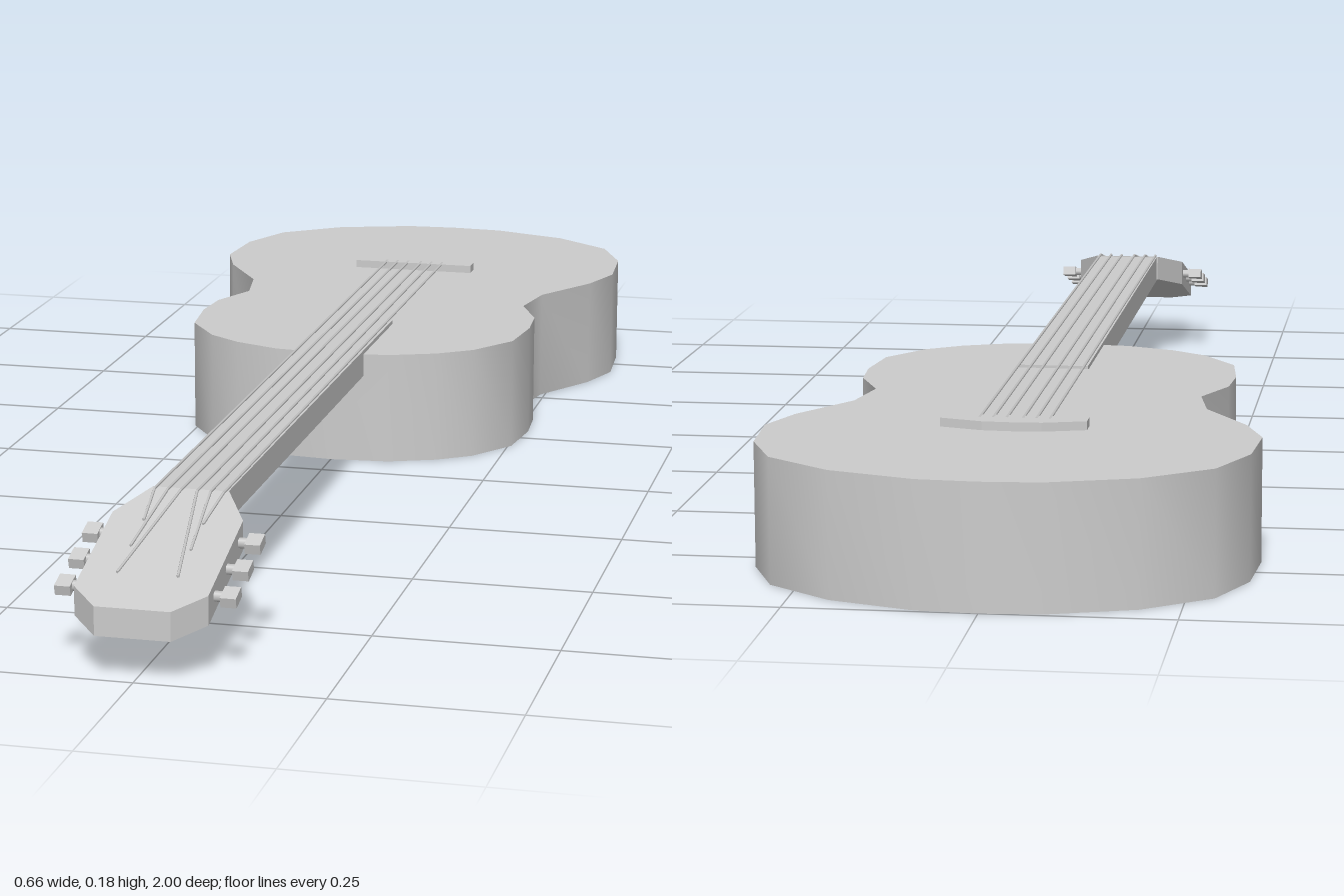
import * as THREE from 'three';
import { toCreasedNormals } from 'three/addons/utils/BufferGeometryUtils.js';

const material = new THREE.MeshStandardMaterial({ color: 0xcccccc });

// Height of the headstock face, which slopes down towards its tip
const headTop = (z) => 0.174 - 0.285 * (z - 0.73);

// Flat slab from the +x half of an outline of [x, z] points, mirrored; top face at y
function slab(half, y, depth) {
  const pts = half.map(([x, z]) => new THREE.Vector2(x, z));
  for (const [x, z] of [...half].reverse()) if (x > 0) pts.push(new THREE.Vector2(-x, z));
  const geo = new THREE.ExtrudeGeometry(new THREE.Shape(pts), { depth, bevelEnabled: false });
  return geo.rotateX(Math.PI / 2).translate(0, y, 0);
}

// Thin rod between two points
function rod(a, b, radius, sides) {
  const dir = b.clone().sub(a);
  const geo = new THREE.CylinderGeometry(radius, radius, dir.length(), sides);
  const up = new THREE.Vector3(0, 1, 0);
  geo.applyQuaternion(new THREE.Quaternion().setFromUnitVectors(up, dir.normalize()));
  return geo.translate(...a.clone().add(b).multiplyScalar(0.5).toArray());
}

export function createModel() {
  const group = new THREE.Group();
  const add = (name, geo, parent = group) => {
    const mesh = new THREE.Mesh(geo, material);
    mesh.name = name;
    parent.add(mesh);
    return mesh;
  };

  // Hollow-waisted body with smooth sides
  const bodyHalf = [
    [0, -1], [0.08, -0.995], [0.197, -0.957], [0.286, -0.89], [0.324, -0.8], [0.331, -0.695],
    [0.305, -0.62], [0.243, -0.52], [0.228, -0.435], [0.26, -0.36], [0.265, -0.29],
    [0.255, -0.2], [0.207, -0.13], [0.157, -0.095], [0.088, -0.068], [0, -0.06],
  ];
  add('body', toCreasedNormals(slab(bodyHalf, 0.168, 0.168), 0.7));

  // Sound hole disc
  const hole = new THREE.CircleGeometry(0.09, 16).rotateX(-Math.PI / 2);
  add('soundHole', hole.translate(0, 0.17, -0.337));

  // Bridge with a swept back edge
  add('bridge', slab([[0, -0.697], [0.04, -0.695], [0.098, -0.678], [0.098, -0.65], [0, -0.65]], 0.18, 0.012));

  // Neck, and the fretboard reaching over the body
  add('neck', new THREE.BoxGeometry(0.1, 0.038, 0.8).translate(0, 0.153, 0.33));
  add('fretboard', new THREE.BoxGeometry(0.1, 0.006, 0.995).translate(0, 0.171, 0.2325));

  // Headstock, sheared along its slope
  const head = slab([[0, 0.725], [0.052, 0.725], [0.088, 0.79], [0.088, 0.96], [0.05, 1], [0, 1]], 0, 0.039);
  const pos = head.attributes.position;
  for (let i = 0; i < pos.count; i++) pos.setY(i, pos.getY(i) + headTop(pos.getZ(i)));
  head.computeVertexNormals();
  add('headstock', head);

  // Strings, outermost running to the nearest pegs, and tuning pegs on both sides
  const tilt = Math.atan(0.285);
  for (const side of [-1, 1]) {
    for (let i = 0; i < 3; i++) {
      const x = side * (0.047 - 0.018 * i);
      const z = 0.81 + 0.06 * i;
      const nut = new THREE.Vector3(x, 0.176, 0.735);
      const post = new THREE.Vector3(side * 0.04, headTop(z) + 0.004, z);
      add('string', rod(new THREE.Vector3(x, 0.179, -0.665), nut, 0.002, 5));
      add('stringEnd', rod(nut, post, 0.002, 5));

      const peg = new THREE.Group();
      peg.name = 'tuningPeg';
      peg.position.set(0, headTop(z) - 0.018, z);
      peg.rotation.x = tilt;
      const shaft = new THREE.CylinderGeometry(0.007, 0.007, 0.03, 6).rotateZ(Math.PI / 2);
      add('pegShaft', shaft.translate(side * 0.095, 0, 0), peg);
      add('pegHead', new THREE.BoxGeometry(0.021, 0.014, 0.028).translate(side * 0.109, 0, 0), peg);
      group.add(peg);
    }
  }
  return group;
}
